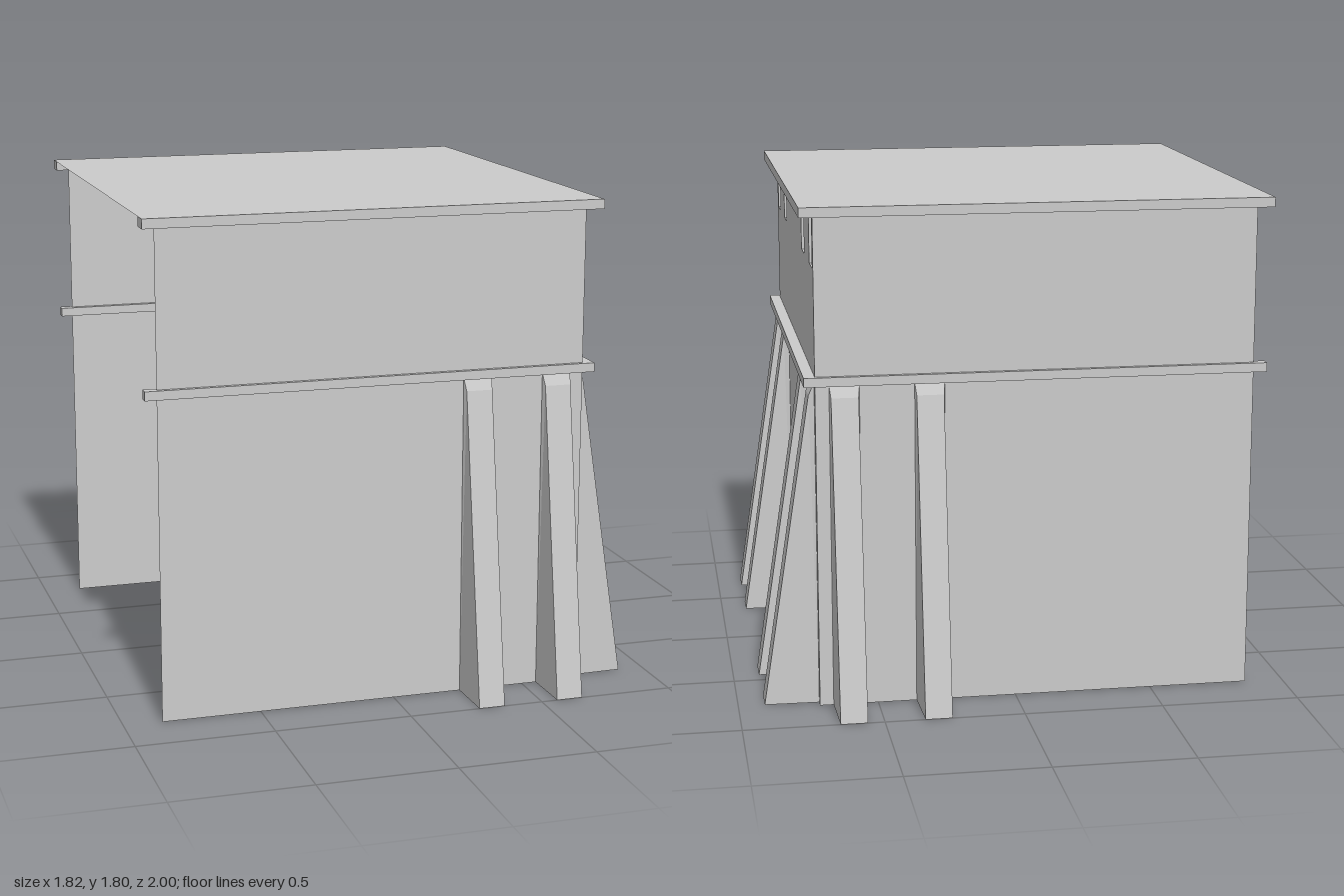
import * as THREE from 'three';

const material = new THREE.MeshStandardMaterial({ color: 0xcccccc, flatShading: true, side: THREE.DoubleSide });

const WALL_X = 0.71, WALL_Z = 0.8, OPEN_X = -0.86, WALL_TOP = 1.765;
const RECESS = 0.055;

function add(parent, name, geometry) {
  const mesh = new THREE.Mesh(geometry, material);
  mesh.name = name;
  parent.add(mesh);
  return mesh;
}

const polygon = (points) => new THREE.Shape(points.map(([x, y]) => new THREE.Vector2(x, y)));

// Flat U-shaped band around three sides, open towards -x
function bandGeometry(x0, x1, z, inX, inZ, height) {
  const shape = polygon([[x0, -z], [x1, -z], [x1, z], [x0, z], [x0, inZ], [inX, inZ], [inX, -inZ], [x0, -inZ]]);
  return new THREE.ExtrudeGeometry(shape, { depth: height, bevelEnabled: false }).rotateX(-Math.PI / 2);
}

// Niche open towards +x, and optionally below
function recessGeometry(y0, y1, width, openBelow) {
  const g = new THREE.BoxGeometry(RECESS, y1 - y0, width);
  const index = Array.from(g.index.array);
  g.setIndex(index.filter((_, i) => i >= 6 && !(openBelow && i >= 18 && i < 24)));
  g.clearGroups();
  return g.translate(WALL_X - RECESS / 2, (y0 + y1) / 2, 0);
}

// Leaning buttress: profile in x/y, width along z, outer edge slightly narrower
function buttressGeometry() {
  const shape = polygon([[0, 0], [0.195, 0], [0.02, 1.13], [0.003, 1.17], [0, 1.17]]);
  const g = new THREE.ExtrudeGeometry(shape, { depth: 0.106, bevelEnabled: false }).translate(0, 0, -0.053);
  const p = g.attributes.position;
  for (let i = 0; i < p.count; i++) {
    if (p.getX(i) > 0.01) p.setZ(i, p.getZ(i) * 0.91);
  }
  g.computeVertexNormals();
  return g;
}

export function createModel() {
  const model = new THREE.Group();
  model.name = 'gatehouse';

  // Entrance wall with door notch and window openings (shape x = -z)
  const wall = polygon([
    [-WALL_Z, 0], [-0.165, 0], [-0.165, 0.615], [0.165, 0.615], [0.165, 0],
    [WALL_Z, 0], [WALL_Z, WALL_TOP], [-WALL_Z, WALL_TOP],
  ]);
  const windows = [-0.71, -0.398, 0.398, 0.71];
  const w = 0.054, sill = 1.58, head = 1.762;
  for (const z of windows) {
    wall.holes.push(polygon([[z - w, sill], [z - w, head], [z + w, head], [z + w, sill]]));
  }
  add(model, 'entranceWall', new THREE.ShapeGeometry(wall).rotateY(Math.PI / 2).translate(WALL_X, 0, 0));

  // Niches behind the openings
  add(model, 'doorRecess', recessGeometry(0, 0.615, 0.33, true));
  for (const z of windows) {
    add(model, 'windowRecess', recessGeometry(sill, head, 2 * w, false)).position.z = z;
  }

  // Thin side walls
  for (const side of [1, -1]) {
    const g = new THREE.PlaneGeometry(WALL_X - OPEN_X, WALL_TOP);
    if (side < 0) g.rotateY(Math.PI);
    g.translate((WALL_X + OPEN_X) / 2, WALL_TOP / 2, side * WALL_Z);
    add(model, side > 0 ? 'frontWall' : 'backWall', g);
  }

  // Middle ledge, roof rim and roof panel
  add(model, 'ledge', bandGeometry(-0.905, 0.75, 0.817, 0.69, 0.78, 0.033)).position.y = 1.17;
  add(model, 'roofRim', bandGeometry(-0.91, 0.76, 0.845, 0.69, 0.78, 0.035)).position.y = WALL_TOP;
  const panel = new THREE.PlaneGeometry(1.6, 1.56).rotateX(-Math.PI / 2);
  add(model, 'roofPanel', panel).position.set(-0.11, 1.8, 0);

  // Buttresses on the entrance wall and on both side walls
  const buttress = buttressGeometry();
  for (const z of [-0.714, -0.397, 0.397, 0.714]) {
    add(model, 'entranceButtress', buttress).position.set(WALL_X, 0, z);
  }
  for (const side of [1, -1]) {
    for (const x of [0.308, 0.608]) {
      const m = add(model, 'sideButtress', buttress);
      m.position.set(x, 0, side * WALL_Z);
      m.rotation.y = -side * Math.PI / 2;
      m.scale.x = 0.2 / 0.195;
    }
  }
  return model;
}
